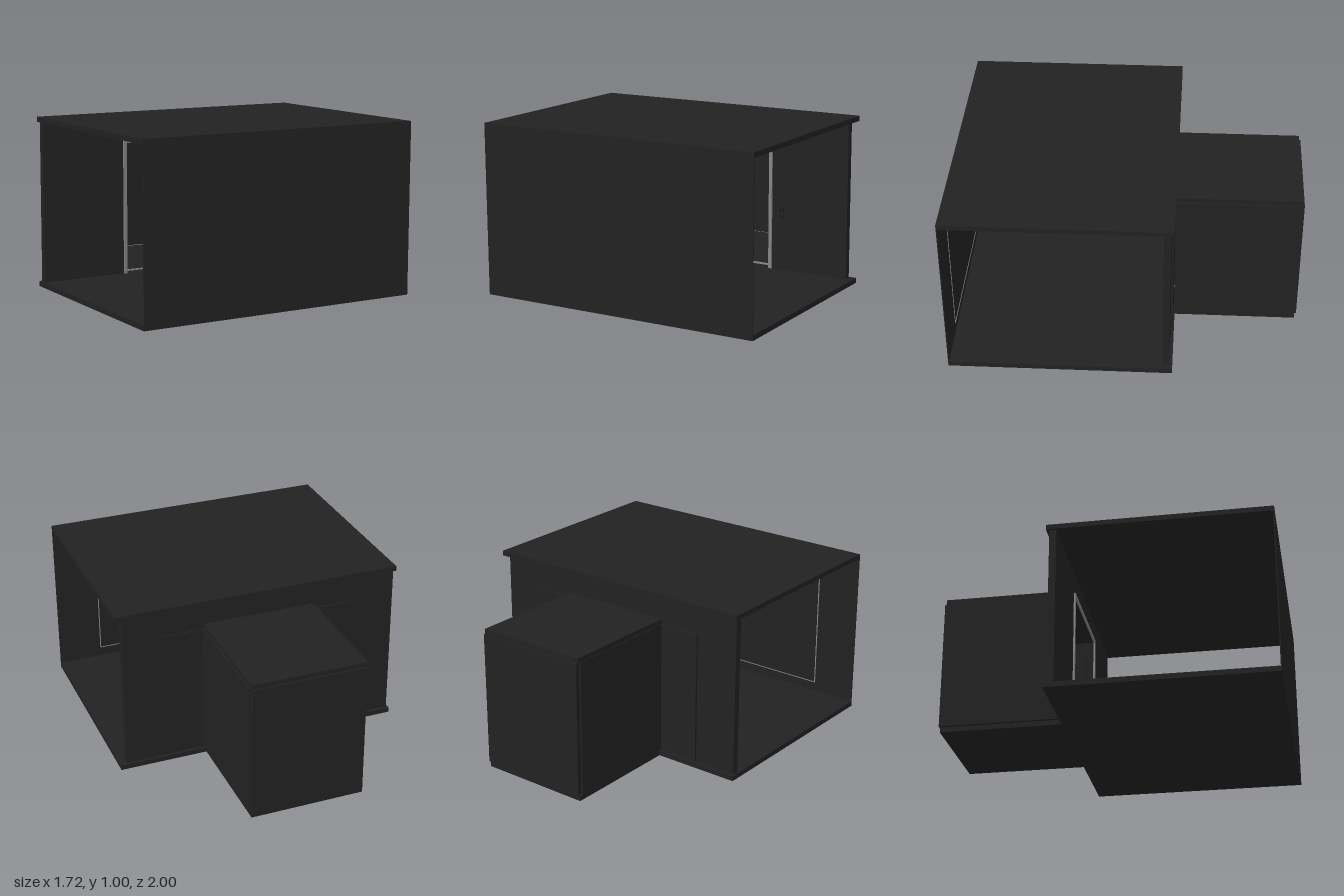
import * as THREE from 'three';

export function createModel() {
  const model = new THREE.Group();
  const material = (name, color) => {
    const m = new THREE.MeshStandardMaterial({ color });
    m.name = name;
    return m;
  };
  const dark = material('charcoal', 0x222222);
  const metal = material('brushed grey', 0x858585);
  const navy = material('dark navy', 0x15161f);

  // Axis-aligned box given by its lower and upper limits
  const slab = (name, mat, x0, x1, y0, y1, z0, z1, parent = model) => {
    const mesh = new THREE.Mesh(new THREE.BoxGeometry(x1 - x0, y1 - y0, z1 - z0), mat);
    mesh.position.set((x0 + x1) / 2, (y0 + y1) / 2, (z0 + z1) / 2);
    mesh.name = name;
    parent.add(mesh);
    return mesh;
  };
  const group = (name) => {
    const g = new THREE.Group();
    g.name = name;
    model.add(g);
    return g;
  };

  // Lobby: floor, roof and thin front wall, open at both sides
  const lobby = group('lobby');
  slab('lobbyFloor', dark, -0.86, 0.86, 0, 0.03, -0.28, 1, lobby);
  slab('lobbyRoof', dark, -0.86, 0.86, 0.97, 1, -0.28, 1, lobby);
  slab('frontWall', dark, -0.86, 0.86, 0.03, 0.97, 0.994, 1, lobby);

  // Back wall with the doorway cut out
  const wall = new THREE.Shape();
  wall.moveTo(-0.85, 0.03).lineTo(-0.31, 0.03).lineTo(-0.31, 0.82).lineTo(0.31, 0.82);
  wall.lineTo(0.31, 0.03).lineTo(0.82, 0.03).lineTo(0.82, 0.97).lineTo(-0.85, 0.97);
  wall.closePath();
  const backWall = new THREE.Mesh(
    new THREE.ExtrudeGeometry(wall, { depth: 0.04, bevelEnabled: false }), dark);
  backWall.position.z = -0.262;
  backWall.name = 'backWall';
  lobby.add(backWall);

  // Hairline frame on the inside of the front wall
  const frame = group('wallPanelFrame');
  for (const s of [-1, 1]) {
    slab('frameSide', metal, s * 0.59 - 0.003, s * 0.59 + 0.003, 0.09, 0.88, 0.991, 0.994, frame);
  }
  for (const y of [0.09, 0.88]) {
    slab('frameRail', metal, -0.59, 0.59, y - 0.002, y + 0.002, 0.991, 0.994, frame);
  }

  // Doorway trim and the two open sliding doors behind the wall
  const doorway = group('doorway');
  for (const s of [-1, 1]) {
    slab('doorTrim', metal, s * 0.318 - 0.01, s * 0.318 + 0.01, 0.03, 0.84, -0.222, -0.212, doorway);
    slab('slidingDoor', dark, s * 0.445 - 0.145, s * 0.445 + 0.145, 0.04, 0.82, -0.274, -0.262, doorway);
  }
  slab('doorTrimTop', metal, -0.328, 0.328, 0.82, 0.84, -0.222, -0.212, doorway);
  for (let i = 0; i < 3; i++) {
    const z = -0.273 - i * 0.012;
    slab('sillRail', metal, -0.3, 0.3, 0.03, 0.034, z - 0.002, z + 0.002, doorway);
  }

  // Call button plate beside the door
  slab('buttonPlate', dark, 0.375, 0.405, 0.34, 0.42, -0.222, -0.214);
  for (const y of [0.36, 0.4]) slab('callButton', navy, 0.382, 0.398, y - 0.008, y + 0.008, -0.214, -0.21);

  // Lift cabin
  const cabin = group('cabin');
  slab('cabinFloor', dark, -0.34, 0.335, 0, 0.03, -0.99, -0.28, cabin);
  slab('cabinRoof', dark, -0.34, 0.335, 0.822, 0.85, -0.99, -0.265, cabin);
  slab('cabinBack', dark, -0.335, 0.335, 0.037, 0.822, -1, -0.972, cabin);
  for (const s of [-1, 1]) {
    slab('cabinSide', dark, s * 0.33 - 0.015, s * 0.33 + 0.015, 0.035, 0.822, -0.972, -0.275, cabin);
  }
  return model;
}
